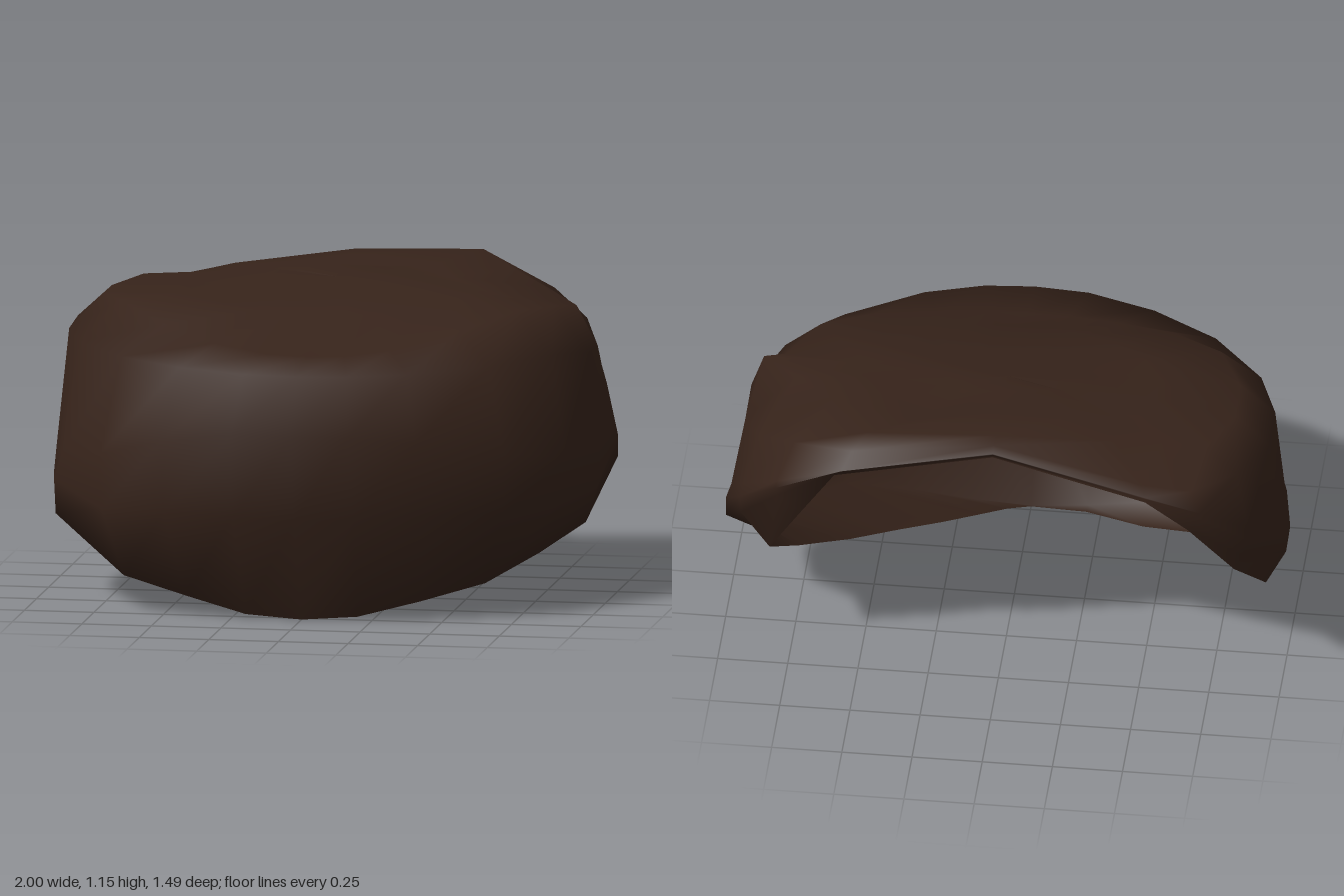
import * as THREE from 'three';

const material = new THREE.MeshStandardMaterial({ color: 0x36231a, side: THREE.DoubleSide });

// Joins equal-length closed rings of points into a smooth skin
function skin(name, rings) {
  const n = rings[0].length;
  const index = [];
  for (let r = 0; r < rings.length - 1; r++) {
    for (let c = 0; c < n; c++) {
      const d = (c + 1) % n;
      const a = r * n + c, b = r * n + d;
      index.push(a, b, b + n, a, b + n, a + n);
    }
  }
  const geometry = new THREE.BufferGeometry();
  geometry.setAttribute('position', new THREE.Float32BufferAttribute(rings.flat(2), 3));
  geometry.setIndex(index);
  geometry.computeVertexNormals();
  const mesh = new THREE.Mesh(geometry, material);
  mesh.name = name;
  return mesh;
}

const lerp = THREE.MathUtils.lerp;

// Edge of the opening: back notch, -x side, front, then the straighter +x side
const rim = [
  [0, 1.1, -0.67], [-0.55, 1.0, -0.74], [-0.7, 0.88, -0.725], [-0.85, 0.62, -0.59],
  [-0.95, 0.48, -0.47], [-0.95, 0.3, -0.1], [-0.81, 0.26, 0.08], [-0.6, 0.16, 0.22],
  [-0.42, 0.08, 0.34], [-0.2, 0.015, 0.49], [0, 0, 0.52],
  [0.08, 0.02, 0.47], [0.15, 0.06, 0.38], [0.28, 0.13, 0.22], [0.42, 0.21, 0.05],
  [0.57, 0.29, -0.13], [0.72, 0.45, -0.4], [0.81, 0.54, -0.54], [0.69, 0.77, -0.63], [0.57, 0.98, -0.68],
];
// Bottom corner of the outer wall
const base = [
  [0, 1.107, -0.67], [-0.55, 1.01, -0.74], [-0.73, 0.9, -0.71], [-0.88, 0.67, -0.57],
  [-1, 0.48, -0.28], [-0.96, 0.3, -0.02], [-0.95, 0.29, 0.14], [-0.65, 0.13, 0.46],
  [-0.42, 0.07, 0.5], [-0.2, 0.015, 0.53], [0, 0, 0.525],
  [0.2, 0.015, 0.52], [0.42, 0.07, 0.48], [0.64, 0.13, 0.41], [0.8, 0.21, 0.2],
  [0.93, 0.29, 0], [0.995, 0.48, -0.29], [0.92, 0.64, -0.48], [0.77, 0.86, -0.66], [0.55, 1.02, -0.71],
];
// Widest outline
const wide = [
  [0, 1.115, -0.67], [-0.55, 1.02, -0.74], [-0.74, 0.93, -0.69], [-0.89, 0.76, -0.52],
  [-0.985, 0.6, -0.27], [-0.98, 0.5, -0.05], [-0.92, 0.52, 0.18], [-0.74, 0.56, 0.44],
  [-0.49, 0.64, 0.62], [-0.22, 0.69, 0.725], [0, 0.69, 0.745],
  [0.2, 0.69, 0.725], [0.43, 0.66, 0.64], [0.71, 0.6, 0.43], [0.89, 0.55, 0.18],
  [0.97, 0.55, -0.05], [0.975, 0.62, -0.29], [0.91, 0.76, -0.47], [0.77, 0.93, -0.67], [0.53, 1.05, -0.745],
];

// Height of the sloping crown
const roof = (x, z) =>
  Math.min(1.145 - 0.12 * Math.abs(x), 1.075 - 0.18 * z - 0.3 * Math.max(0, z - 0.18));

// Draws a ring in towards the crown centre, with a height rule
const shrink = (ring, scale, height) => ring.map(([x, , z]) => {
  const s = scale(z);
  const cz = -0.2 + (z + 0.2) * s;
  return [x * s, height(x * s, cz), cz];
});

export function createModel() {
  const group = new THREE.Group();
  group.name = 'cap';

  const shoulder = shrink(wide, (z) => 0.955 - 0.1 * Math.max(0, z),
    (x, z) => 0.92 - 0.05 * z + 0.15 * Math.max(0, -0.3 - z));
  const upper = shrink(wide, (z) => 0.83 - 0.23 * Math.max(0, z), roof);

  // Back edge left of the notch
  shoulder[0] = [0, 1.13, -0.64];
  shoulder[1] = [-0.53, 1.045, -0.7];
  upper[0] = [0, 1.145, -0.6];
  upper[1] = [-0.42, 1.095, -0.52];
  upper[2] = [-0.58, 1.06, -0.46];

  // Raised, bevelled back corner on the +x side
  shoulder[19] = [0.5, 1.1, -0.69];
  shoulder[18] = [0.72, 1.03, -0.57];
  shoulder[17] = [0.86, 0.95, -0.43];
  shoulder[16] = [0.93, 0.88, -0.25];
  shoulder[15] = [0.93, 0.89, -0.06];
  upper[19] = [0.45, 1.15, -0.64];
  upper[18] = [0.6, 1.12, -0.42];
  upper[17] = [0.75, 1.085, -0.25];
  upper[16] = [0.88, 1.05, -0.1];

  // Gently bulged middle of the outer wall
  const wall = base.map((p, i) => {
    const [x, y, z] = p.map((v, k) => lerp(v, wide[i][k], 0.55));
    const bulge = 0.04 * Math.min(1, 2 * (wide[i][1] - p[1]));
    const len = Math.hypot(x, z);
    return [x + (x / len) * bulge, y, z + (z / len) * bulge];
  });
  const crown = [0.65, 0.3, 0].map((s) => shrink(upper, () => s, roof));
  group.add(skin('shell', [rim, base, wall, wide, shoulder, upper, ...crown]));

  return group;
}
